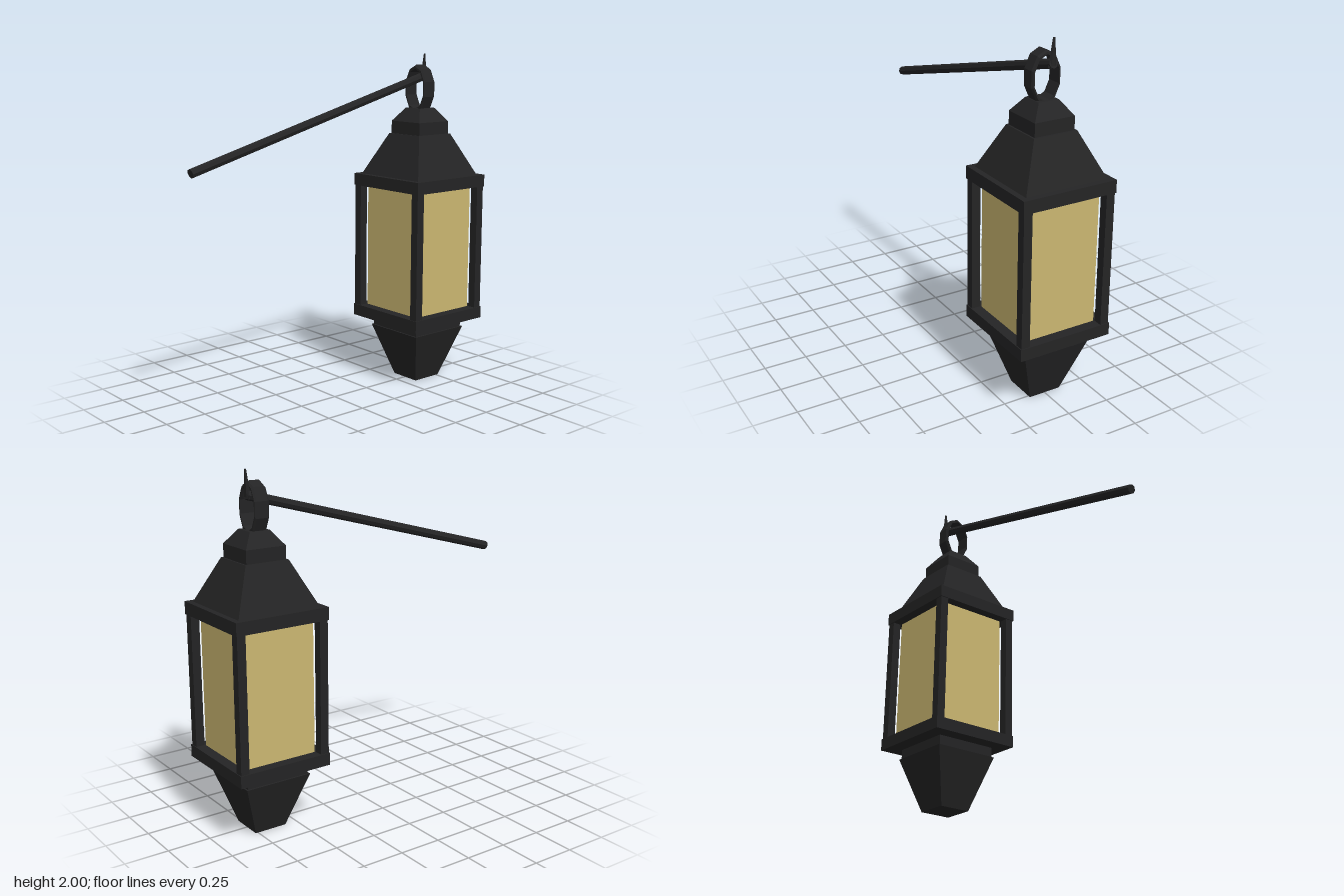
import * as THREE from 'three';

export function createModel() {
  const iron = new THREE.MeshStandardMaterial({ color: 0x242425, flatShading: true });
  iron.name = 'dark iron';
  const glow = new THREE.MeshStandardMaterial({ color: 0xcbb771, flatShading: true });
  glow.name = 'warm glass';

  const model = new THREE.Group();
  model.name = 'hangingLantern';
  const lantern = new THREE.Group();
  lantern.name = 'lantern';
  lantern.position.x = 0.669;
  model.add(lantern);

  const add = (parent, name, geometry, material, x = 0, y = 0, z = 0) => {
    const mesh = new THREE.Mesh(geometry, material);
    mesh.name = name;
    mesh.position.set(x, y, z);
    parent.add(mesh);
    return mesh;
  };

  // Square block between two heights, with half widths at the bottom and top
  const block = (name, y0, y1, h0, h1 = h0, material = iron) => {
    const g = new THREE.CylinderGeometry(h1 * Math.SQRT2, h0 * Math.SQRT2, y1 - y0, 4);
    g.rotateY(Math.PI / 4);
    return add(lantern, name, g, material, 0, (y0 + y1) / 2, 0);
  };

  // Stacked square body
  block('baseTaper', 0, 0.32, 0.096, 0.2);
  block('baseNeck', 0.32, 0.38, 0.19);
  block('lowerFrame', 0.38, 0.45, 0.28);
  block('glass', 0.45, 1.205, 0.219, 0.219, glow);
  block('upperFrame', 1.205, 1.277, 0.28);
  block('roof', 1.277, 1.525, 0.246, 0.13);
  block('roofCollar', 1.525, 1.6, 0.12);
  block('roofCap', 1.6, 1.68, 0.12, 0.06);

  // Corner posts
  for (const sx of [-1, 1]) {
    for (const sz of [-1, 1]) {
      add(lantern, 'cornerPost', new THREE.BoxGeometry(0.05, 0.76, 0.05), iron, sx * 0.25, 0.828, sz * 0.25);
    }
  }

  // Hanging ring: a bevelled flat band, taller than wide
  const band = [
    [0.078, -0.043], [0.086, -0.043], [0.093, -0.032], [0.093, 0.032],
    [0.086, 0.043], [0.078, 0.043], [0.078, -0.043],
  ].map(([r, h]) => new THREE.Vector2(r, h));
  const ringGeometry = new THREE.LatheGeometry(band, 10);
  ringGeometry.rotateZ(Math.PI / 2);
  ringGeometry.rotateX(Math.PI / 10);
  const ring = add(lantern, 'hangingRing', ringGeometry, iron, -0.004, 1.793, 0);
  ring.scale.set(1, 1.55, 0.97);

  // Sloping rod passing through the ring
  const start = new THREE.Vector3(-0.943, 1.415, -0.026);
  const end = new THREE.Vector3(0.725, 1.868, -0.026);
  const rod = add(model, 'rod', new THREE.CylinderGeometry(0.026, 0.026, start.distanceTo(end), 8), iron);
  rod.position.copy(start).lerp(end, 0.5);
  rod.quaternion.setFromUnitVectors(new THREE.Vector3(0, 1, 0), end.clone().sub(start).normalize());

  // Upturned spike at the rod tip
  const spikeGeometry = new THREE.CylinderGeometry(0.007, 0.025, 0.155, 6);
  spikeGeometry.scale(0.6, 1, 1);
  const spike = add(model, 'tipSpike', spikeGeometry, iron, 0.72, 1.923, -0.024);
  spike.rotation.z = -0.06;

  return model;
}
